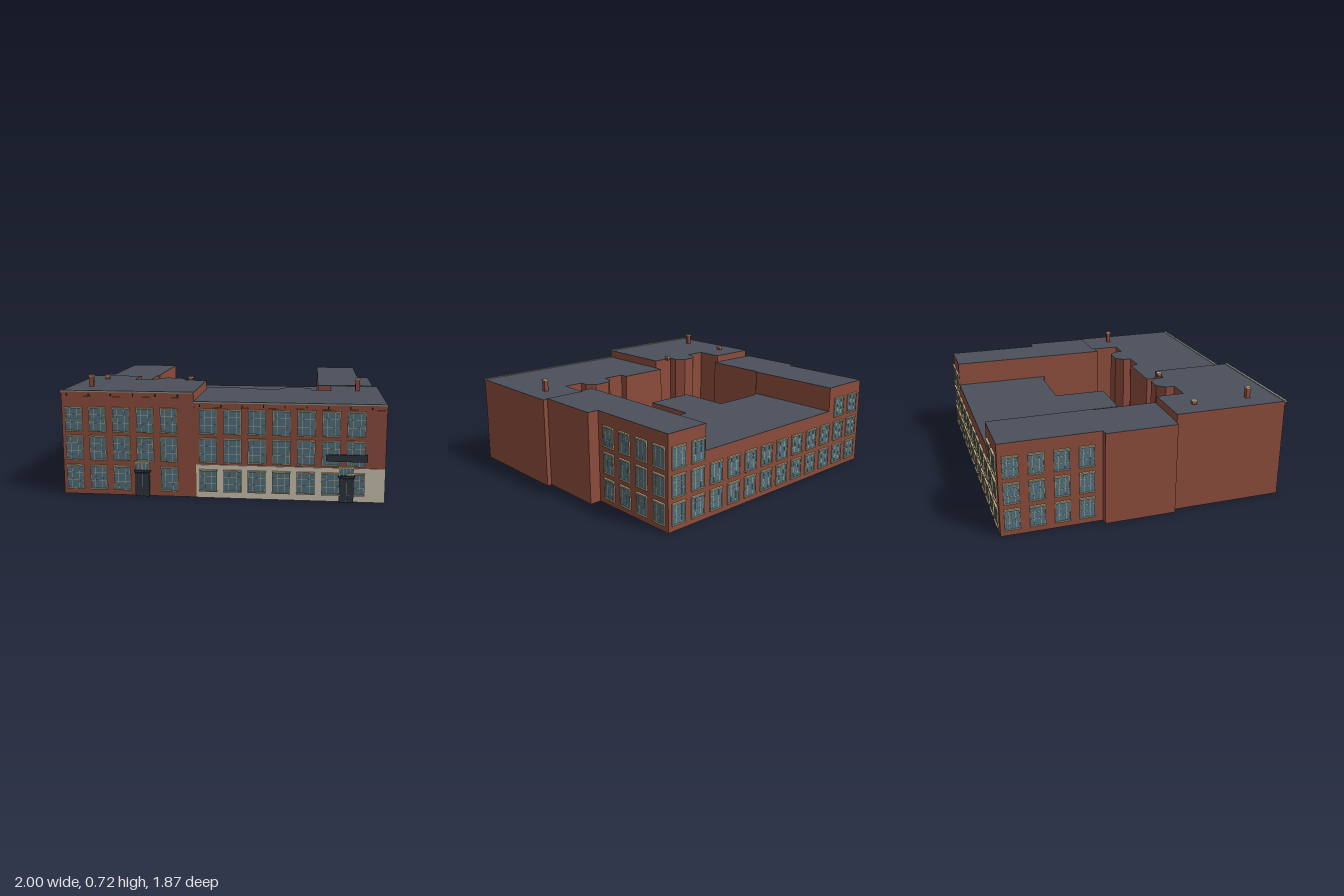
import * as THREE from 'three';

const mat = (color) => new THREE.MeshStandardMaterial({ color });
const brick = mat(0x8c4c3c), roofing = mat(0x4a505a), glass = mat(0x4f7080);
const tan = mat(0xb8a985), stone = mat(0xcac2b2), dark = mat(0x2c333c), metal = mat(0x8a9088);
const unit = new THREE.BoxGeometry(1, 1, 1);

function box(parent, name, material, w, h, d, x, y, z) {
  const m = new THREE.Mesh(unit, material);
  m.name = name;
  m.scale.set(w, h, d);
  m.position.set(x, y, z);
  parent.add(m);
  return m;
}

// Upright prism over a plan of [x, z] corners
function prism(plan, y0, y1, material, name) {
  const shape = new THREE.Shape(plan.map(([x, z]) => new THREE.Vector2(x, -z)));
  const geo = new THREE.ExtrudeGeometry(shape, { depth: y1 - y0, bevelEnabled: false });
  geo.rotateX(-Math.PI / 2).translate(0, y0, 0);
  const m = new THREE.Mesh(geo, material);
  m.name = name;
  return m;
}

// Brick walls with a thin roof sheet on top
function block(name, plan, height) {
  const g = new THREE.Group();
  g.name = name;
  g.add(prism(plan, 0, height - 0.003, brick, name + 'Walls'));
  g.add(prism(plan, height - 0.003, height, roofing, name + 'Roof'));
  return g;
}

// Window facing +z, its base centre at the origin
function makeWindow(w, h) {
  const g = new THREE.Group();
  g.name = 'window';
  box(g, 'glass', glass, w, h, 0.006, 0, h / 2, 0.001);
  for (const s of [-1, 1]) box(g, 'jamb', tan, 0.004, h, 0.01, s * w / 2, h / 2, 0.002);
  for (const f of [-0.22, 0.22]) box(g, 'mullion', tan, 0.003, h, 0.009, f * w, h / 2, 0.001);
  for (const f of [0.36, 0.7]) box(g, 'glazingBar', tan, w, 0.0025, 0.009, 0, f * h, 0.001);
  box(g, 'sill', tan, w + 0.006, 0.007, 0.018, 0, 0.001, 0.003);
  box(g, 'lintel', tan, w + 0.006, 0.009, 0.02, 0, h, 0.003);
  return g;
}

// Entrance with double door, transom window and canopy
function makeEntrance() {
  const g = new THREE.Group();
  g.name = 'entrance';
  box(g, 'door', dark, 0.086, 0.146, 0.018, 0, 0.073, 0.004);
  box(g, 'doorSplit', metal, 0.002, 0.14, 0.002, 0, 0.07, 0.013);
  box(g, 'canopy', dark, 0.1, 0.012, 0.024, 0, 0.156, 0.004);
  box(g, 'transom', glass, 0.082, 0.045, 0.016, 0, 0.187, 0.002);
  for (let i = 0; i < 5; i++) box(g, 'transomBar', tan, 0.004, 0.048, 0.018, (i - 2) * 0.02, 0.187, 0.003);
  box(g, 'transomCap', tan, 0.096, 0.008, 0.022, 0, 0.213, 0.003);
  return g;
}

export function createModel() {
  const model = new THREE.Group();
  model.name = 'courtyardBuilding';

  // Front blocks with rear bays
  model.add(block('frontLeftBlock', [
    [-0.965, 0.91], [-0.15, 0.91], [-0.15, 0.36], [-0.3, 0.36], [-0.3, 0.3], [-0.35, 0.25],
    [-0.44, 0.25], [-0.49, 0.3], [-0.49, 0.36], [-0.635, 0.36], [-0.635, 0.175], [-0.965, 0.175],
  ], 0.645));
  model.add(block('frontRightBlock', [
    [-0.15, 0.91], [0.995, 0.91], [0.995, 0.15], [0.68, 0.15], [0.68, 0.355], [0.55, 0.355],
    [0.55, 0.3], [0.5, 0.25], [0.39, 0.25], [0.34, 0.3], [0.34, 0.355], [0.19, 0.355],
    [0.19, 0.3], [-0.15, 0.3],
  ], 0.59));

  // Side wings
  model.add(block('rightWing', [
    [-0.955, -0.925], [-0.6, -0.925], [-0.6, -0.26], [-0.61, -0.25], [-0.61, 0.18],
    [-1, 0.17], [-1, -0.29], [-0.955, -0.29],
  ], 0.595));
  model.add(block('leftWing', [
    [0.89, -0.925], [0.595, -0.925], [0.595, 0.17], [0.682, 0.17], [0.682, 0.151],
    [0.965, 0.151], [0.965, -0.29], [0.89, -0.29],
  ], 0.595));

  // Lower rear hall with a stub into the courtyard
  model.add(block('rearHall', [
    [-0.6, -0.925], [0.595, -0.925], [0.595, -0.265], [0.52, -0.29], [0.145, -0.29], [0.14, 0.07],
    [-0.2, 0.065], [-0.2, -0.285], [-0.56, -0.285], [-0.6, -0.26],
  ], 0.43));

  // Stone ground floor of the right front block
  box(model, 'stoneFront', stone, 1.13, 0.205, 0.008, 0.429, 0.1025, 0.911);

  // Front windows
  const addWindow = (w, h, x, y, z, turn) => {
    const win = makeWindow(w, h);
    win.position.set(x, y, z);
    win.rotation.y = turn;
    model.add(win);
  };
  const frontRows = [[0.035, 0.147], [0.22, 0.147], [0.397, 0.147]];
  frontRows.forEach(([y, h], row) => {
    for (let i = 0; i < 5; i++) {
      if (row === 0 && i === 3) continue;
      addWindow(0.1, h, -0.89 + i * 0.147, y, 0.912, 0);
    }
    for (let i = 0; i < 7; i++) {
      addWindow(0.104, row ? h : 0.13, -0.062 + i * 0.147, row ? y : 0.043, row ? 0.912 : 0.917, 0);
    }
  });

  // Rear and side windows; the low hall has two storeys only
  [0.04, 0.21, 0.38].forEach((y, row) => {
    for (let i = 0; i < 12; i++) {
      if (row === 2 && i > 1 && i < 10) continue;
      addWindow(0.1, 0.13, -0.86 + i * 0.152, y, -0.926, Math.PI);
    }
    for (let i = 0; i < 4; i++) {
      const z = -0.85 + i * 0.153;
      addWindow(0.092, 0.13, 0.891, y, z, Math.PI / 2);
      addWindow(0.092, 0.13, -0.956, y, z, -Math.PI / 2);
    }
  });

  // Entrances and blank sign board
  for (const x of [-0.468, 0.767]) {
    const e = makeEntrance();
    e.position.set(x, 0, 0.916);
    model.add(e);
  }
  box(model, 'signBoard', dark, 0.245, 0.042, 0.012, 0.767, 0.268, 0.918);

  // Cornices, string courses and brackets
  for (const [x0, x1, top, count] of [[-0.97, -0.15, 0.65, 6], [-0.15, 0.997, 0.594, 9]]) {
    const w = x1 - x0, cx = (x0 + x1) / 2;
    box(model, 'cornice', metal, w, 0.009, 0.018, cx, top - 0.0045, 0.913);
    box(model, 'corniceCourse', brick, w, 0.012, 0.012, cx, top - 0.015, 0.911);
    box(model, 'stringCourse', brick, w, 0.006, 0.01, cx, top - 0.04, 0.91);
    for (let i = 0; i < count; i++) {
      box(model, 'bracket', dark, 0.006, 0.016, 0.012, x0 + (i + 0.3) * w / count, top - 0.024, 0.913);
    }
  }

  // Chimneys: x, z, base, top
  for (const [x, z, y0, y1] of [
    [-0.83, 0.715, 0.64, 0.715], [-0.83, 0.345, 0.64, 0.668],
    [-0.257, 0.345, 0.64, 0.668], [0.852, 0.345, 0.585, 0.668],
  ]) {
    box(model, 'chimney', brick, 0.028, y1 - y0, 0.028, x, (y0 + y1) / 2, z);
    box(model, 'chimneyCap', tan, 0.036, 0.008, 0.036, x, y1 - 0.002, z);
  }
  return model;
}
